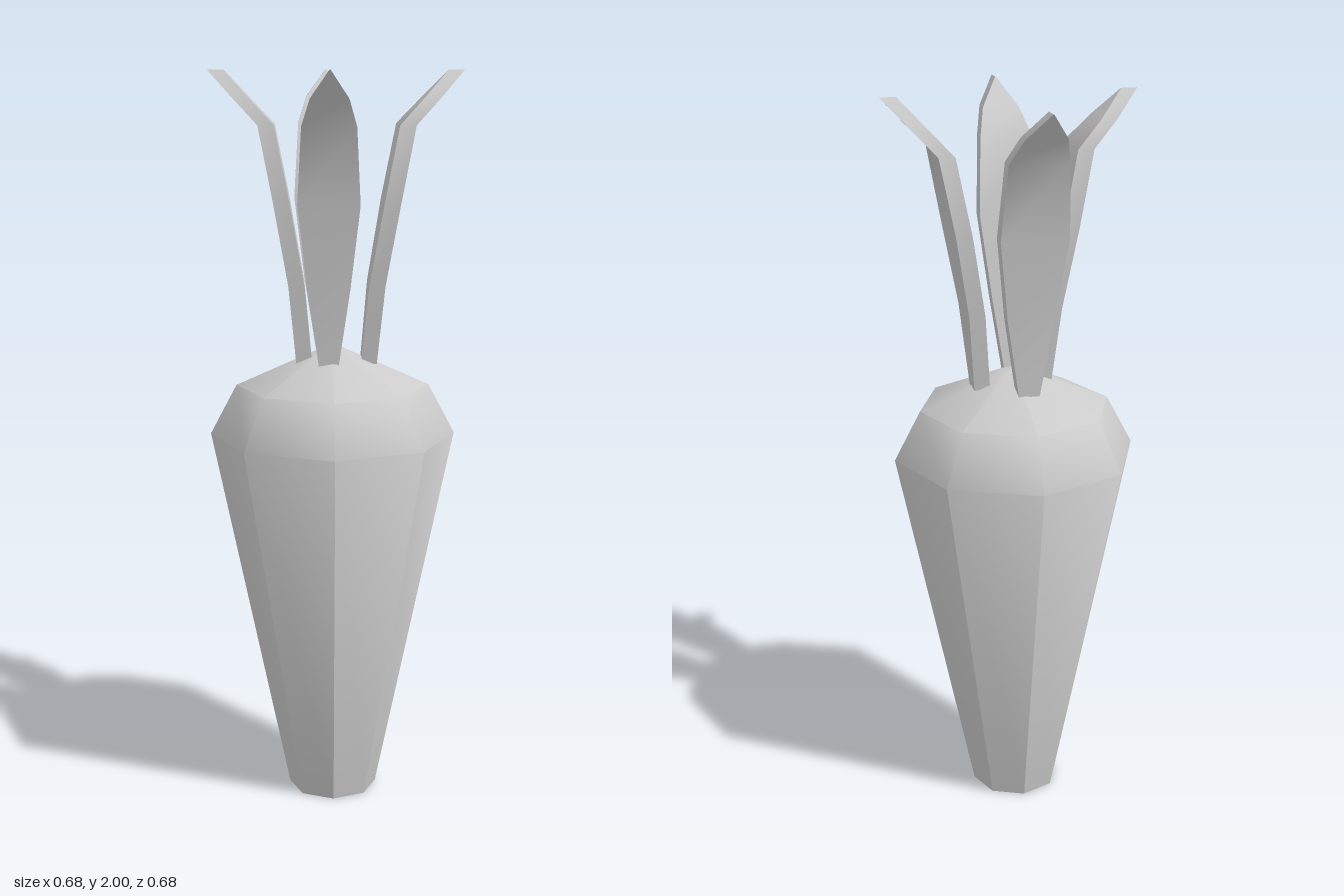
import * as THREE from 'three';
import { toCreasedNormals } from 'three/addons/utils/BufferGeometryUtils.js';

const material = new THREE.MeshStandardMaterial({ color: 0xcccccc, side: THREE.DoubleSide });

// Leaf stations: distance of the inner face from the stem axis, height, half width
const stations = [
  [0.065, 1.225, 0.026],
  [0.085, 1.44, 0.058],
  [0.123, 1.66, 0.083],
  [0.162, 1.86, 0.072],
  [0.228, 1.93, 0.05],
  [0.293, 2.0, 0.001],
];
const THICKNESS = 0.043;

// A thick bent blade leaning towards +z, lofted from four-cornered sections
function leafGeometry(widthScale) {
  const positions = [];
  const index = [];
  for (const [out, y, half] of stations) {
    const w = half * widthScale;
    positions.push(-w, y, out, w, y, out, w, y, out + THICKNESS, -w, y, out + THICKNESS);
  }
  for (let s = 0; s < stations.length - 1; s++) {
    for (let k = 0; k < 4; k++) {
      const a = s * 4 + k;
      const b = s * 4 + (k + 1) % 4;
      index.push(a, a + 4, b, b, a + 4, b + 4);
    }
  }
  const e = (stations.length - 1) * 4;
  index.push(0, 1, 2, 0, 2, 3, e, e + 2, e + 1, e, e + 3, e + 2);
  const geometry = new THREE.BufferGeometry();
  geometry.setAttribute('position', new THREE.Float32BufferAttribute(positions, 3));
  geometry.setIndex(index);
  return toCreasedNormals(geometry, 0.6);
}

export function createModel() {
  const model = new THREE.Group();
  model.name = 'carrot';

  // Eight-sided root, open at the blunt lower end
  const profile = [[0.122, 0], [0.333, 1.03], [0.261, 1.165], [0.035, 1.264], [0, 1.266]];
  const rootGeometry = new THREE.LatheGeometry(profile.map(([r, y]) => new THREE.Vector2(r, y)), 8);
  const root = new THREE.Mesh(toCreasedNormals(rootGeometry, 0.715), material);
  root.name = 'root';
  root.position.set(-0.008, 0, 0.007);
  model.add(root);

  // Four leaves: name, turn, width scale, x, z
  const leaves = [
    ['frontLeaf', 0, 0.98, -0.02, -0.008],
    ['leftLeaf', Math.PI / 2, 1.23, 0.003, 0.002],
    ['backLeaf', Math.PI, 1.08, -0.02, -0.003],
    ['rightLeaf', -Math.PI / 2, 0.98, 0.002, 0.018],
  ];
  for (const [name, turn, width, x, z] of leaves) {
    const leaf = new THREE.Mesh(leafGeometry(width), material);
    leaf.name = name;
    leaf.rotation.y = turn;
    leaf.position.set(x, 0, z);
    model.add(leaf);
  }
  return model;
}
